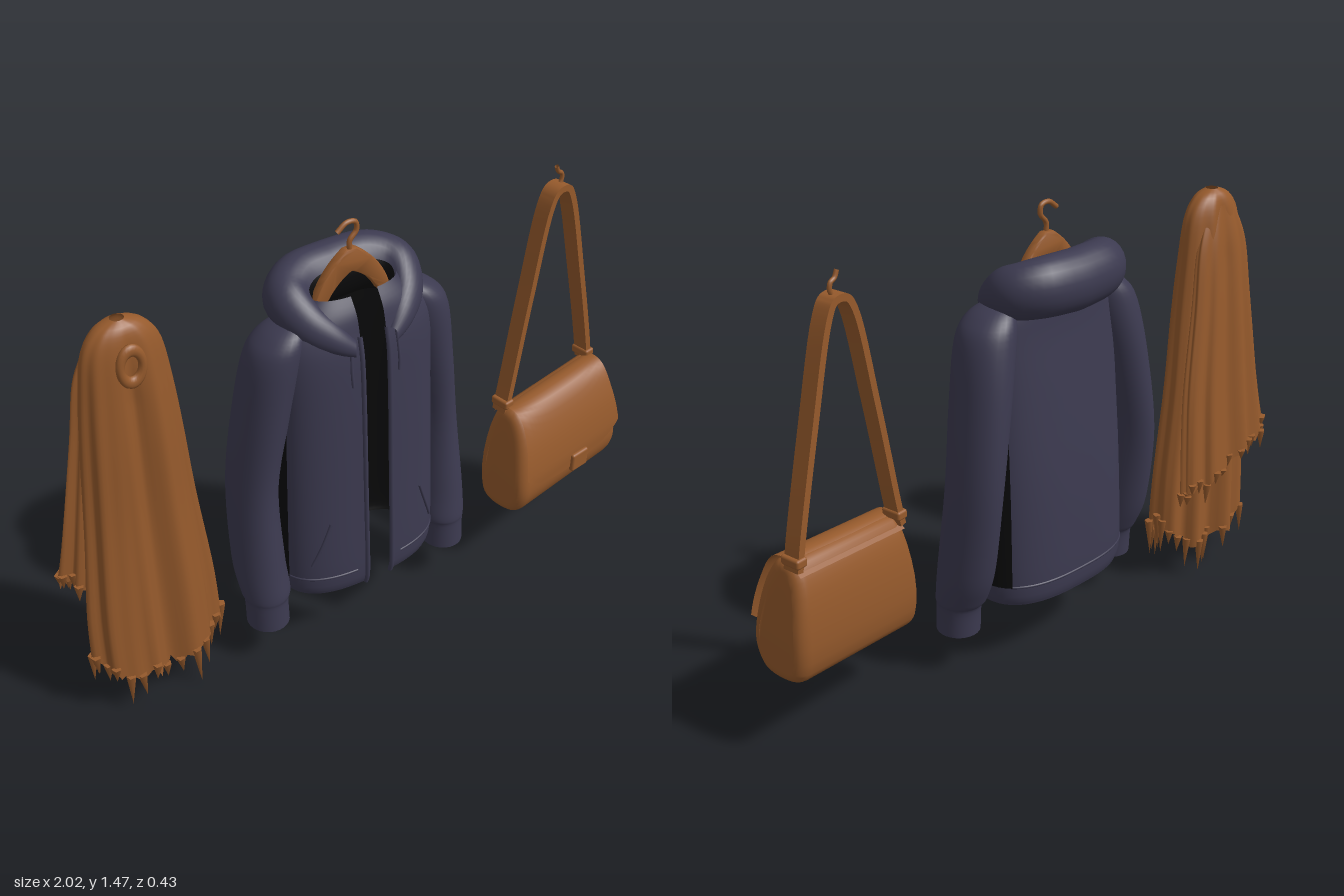
import * as THREE from 'three';
import { toCreasedNormals } from 'three/addons/utils/BufferGeometryUtils.js';
import { RoundedBoxGeometry } from 'three/addons/geometries/RoundedBoxGeometry.js';

const V = (x, y, z) => new THREE.Vector3(x, y, z);
const material = (name, color, side = THREE.FrontSide) => {
  const m = new THREE.MeshStandardMaterial({ color, side });
  m.name = name;
  return m;
};

// Skin through equal-length rings of points
function loft(rings, { closed = true, flip = false, cap = false } = {}) {
  const n = rings[0].length, pos = rings.flat().flatMap(p => [p.x, p.y, p.z]), idx = [];
  const tri = (a, b, c) => (flip ? idx.push(a, c, b) : idx.push(a, b, c));
  for (let i = 0; i < rings.length - 1; i++) {
    for (let j = 0; j < (closed ? n : n - 1); j++) {
      const k = (j + 1) % n, a = i * n + j, b = i * n + k;
      tri(a, b, b + n);
      tri(a, b + n, a + n);
    }
  }
  if (cap) for (const end of [0, rings.length - 1]) {
    const c = rings[end].reduce((s, p) => s.add(p), V(0, 0, 0)).divideScalar(n);
    const ci = pos.push(c.x, c.y, c.z) / 3 - 1;
    for (let j = 0; j < n; j++) {
      const a = end * n + j, b = end * n + (j + 1) % n;
      if (end) tri(a, b, ci); else tri(b, a, ci);
    }
  }
  const g = new THREE.BufferGeometry();
  g.setAttribute('position', new THREE.Float32BufferAttribute(pos, 3));
  g.setIndex(idx);
  g.computeVertexNormals();
  return g;
}

// Smoothly resample a list of numeric rows
function smoothRows(rows, count) {
  return Array.from({ length: count + 1 }, (_, i) => {
    const f = i / count * (rows.length - 1), k = Math.min(Math.floor(f), rows.length - 2), t = f - k;
    const at = j => rows[Math.max(0, Math.min(rows.length - 1, j))];
    return rows[0].map((_, c) => {
      const a = at(k)[c], b = at(k + 1)[c], ma = (b - at(k - 1)[c]) / 2, mb = (at(k + 2)[c] - a) / 2;
      const t2 = t * t, t3 = t2 * t;
      return (2 * t3 - 3 * t2 + 1) * a + (t3 - 2 * t2 + t) * ma + (3 * t2 - 2 * t3) * b + (t3 - t2) * mb;
    });
  });
}

const arc = (from, to, n, fn) => Array.from({ length: n + 1 }, (_, i) => fn(from + (to - from) * i / n));
const tube = (pts, r, seg = 24) => new THREE.TubeGeometry(new THREE.CatmullRomCurve3(pts), seg, r, 8);

export function createModel() {
  const brown = material('brown', 0x965a2c, THREE.DoubleSide);
  const navy = material('navy', 0x3c3a50);
  const black = material('black lining', 0x0a0a0b);
  const model = new THREE.Group();
  const group = (name) => { const g = new THREE.Group(); g.name = name; model.add(g); return g; };
  const add = (parent, name, geo, mat) => {
    const m = new THREE.Mesh(geo, mat);
    m.name = name;
    parent.add(m);
    return m;
  };
  let seed = 7;
  const rnd = () => (seed = (seed * 16807) % 2147483647) / 2147483647;

  // ---- Jacket ----
  const jacket = group('jacket');
  jacket.position.x = -0.036;
  // y, half width, front z, back z
  const bodyRows = smoothRows([
    [0.23, 0.272, 0.15, -0.16], [0.30, 0.285, 0.16, -0.17], [0.6, 0.28, 0.15, -0.155], [0.9, 0.272, 0.14, -0.125],
    [1.08, 0.27, 0.13, -0.105], [1.16, 0.255, 0.115, -0.1], [1.22, 0.2, 0.1, -0.1], [1.27, 0.15, 0.07, -0.1]], 28);
  const bodyPoint = ([y, w, f, b], a, off = 0) => {
    const s = Math.sin(a), c = Math.cos(a);
    return V((w + off) * Math.sign(s) * Math.abs(s) ** 0.75, y, c > 0 ? (f + off) * c ** 0.8 : (b - off) * (-c) ** 0.8);
  };
  const edgeAngle = row => Math.asin((0.046 / row[1]) ** (1 / 0.75));
  const shell = off => bodyRows.map(r => arc(edgeAngle(r), Math.PI * 2 - edgeAngle(r), 56, a => bodyPoint(r, a, off)));
  add(jacket, 'jacketBody', loft(shell(0), { closed: false }), navy);
  add(jacket, 'jacketLining', loft(shell(-0.01), { closed: false, flip: true }), black);
  // y, centre x, x radius, centre z, z radius
  const sleeveRows = smoothRows([
    [1.215, 0.2, 0.03, -0.01, 0.04], [1.18, 0.235, 0.065, -0.01, 0.08], [1.11, 0.265, 0.085, -0.015, 0.1],
    [0.92, 0.305, 0.078, -0.03, 0.108], [0.655, 0.345, 0.072, -0.04, 0.105], [0.39, 0.355, 0.08, -0.01, 0.1],
    [0.27, 0.352, 0.079, 0.02, 0.086], [0.235, 0.355, 0.069, 0.03, 0.074], [0.145, 0.355, 0.069, 0.035, 0.072]], 40);
  for (const s of [1, -1]) {
    const sleeve = sleeveRows.map(([y, x, rx, z, rz]) =>
      arc(0, Math.PI * 2 * 27 / 28, 27, a => V(s * x + rx * Math.sin(a), y, z + rz * Math.cos(a))));
    add(jacket, 'sleeve', loft(sleeve, { flip: true }), navy);
    const cuff = add(jacket, 'cuffOpening', new THREE.CircleGeometry(1, 28), black);
    cuff.scale.set(0.069, 0.073, 1);
    cuff.rotation.x = Math.PI / 2;
    cuff.position.set(s * 0.355, 0.148, 0.035);
    // Dark side panel behind the sleeve
    const side = bodyRows.filter(r => r[0] > 0.27 && r[0] < 1.04);
    add(jacket, 'sidePanel', loft(side.map(r => arc(1.3, 2.15, 10, a => {
      const p = bodyPoint(r, a, 0.004);
      p.x *= s;
      return p;
    })), { closed: false, flip: s < 0 }), black);
    // Zip edge, pocket welt and hood cord lie on the body surface
    const onBody = (row, x) => bodyPoint(row, Math.asin((x / row[1]) ** (1 / 0.75)), 0.002);
    const place = (row, x) => { const p = onBody(row, x); p.x *= s; return p; };
    const rowAt = y => bodyRows.reduce((a, b) => Math.abs(b[0] - y) < Math.abs(a[0] - y) ? b : a);
    add(jacket, 'zipEdge', tube(bodyRows.filter(r => r[0] < 1.17).map(r => place(r, 0.048)), 0.008, 40), navy);
    add(jacket, 'pocketWelt', tube([[0.55, 0.17], [0.46, 0.2], [0.38, 0.23]].map(([y, x]) => place(rowAt(y), x)), 0.005), navy);
    add(jacket, 'hoodCord', tube([[1.14, 0.08], [1.06, 0.085], [1.0, 0.083]].map(([y, x]) => place(rowAt(y), x)), 0.005), navy);
  }
  add(jacket, 'hemSeam', tube(arc(0.2, Math.PI * 2 - 0.2, 40, a => bodyPoint(bodyRows[4], a, -0.002)), 0.005, 90), navy);

  // Hood folded around the neck: centre radius, y, z, radial radius, vertical radius, from back to front
  const hoodHalf = smoothRows([
    [0, 1.255, -0.115, 0.08, 0.095], [0.11, 1.258, -0.105, 0.08, 0.092], [0.18, 1.25, -0.06, 0.074, 0.085],
    [0.197, 1.24, 0.0, 0.062, 0.07], [0.165, 1.2, 0.062, 0.05, 0.058], [0.11, 1.16, 0.1, 0.038, 0.045],
    [0.065, 1.125, 0.122, 0.02, 0.026]], 24);
  const hoodPath = [...hoodHalf.slice(1).reverse().map(r => [-r[0], ...r.slice(1)]), ...hoodHalf];
  const hood = (from, to) => hoodPath.map(([x, y, z, rr, ry], i) => {
    const phi = (i / (hoodPath.length - 1) * 2 - 1) * 2.6, out = V(Math.sin(phi), 0, -Math.cos(phi));
    return arc(from, to, 18, a => V(x, y + ry * Math.sin(a), z).addScaledVector(out, rr * Math.cos(a)));
  });
  add(jacket, 'hood', loft(hood(-0.55 * Math.PI, 0.85 * Math.PI), { closed: false }), navy);
  add(jacket, 'hoodLining', loft(hood(0.85 * Math.PI, 1.45 * Math.PI), { closed: false }), black);

  // ---- Hanger ----
  const hanger = group('hanger');
  hanger.position.x = -0.036;
  const yoke = new THREE.Shape();
  yoke.moveTo(-0.13, 1.225);
  yoke.quadraticCurveTo(-0.1, 1.32, -0.015, 1.375);
  yoke.lineTo(0.015, 1.375);
  yoke.quadraticCurveTo(0.1, 1.32, 0.13, 1.225);
  yoke.lineTo(0.1, 1.22);
  yoke.quadraticCurveTo(0.06, 1.29, 0, 1.315);
  yoke.quadraticCurveTo(-0.06, 1.29, -0.1, 1.22);
  const yokeGeo = new THREE.ExtrudeGeometry(yoke, { depth: 0.02, bevelThickness: 0.006, bevelSize: 0.006, bevelSegments: 3, curveSegments: 12 });
  add(hanger, 'hangerArms', toCreasedNormals(yokeGeo.translate(0, 0, -0.015), 0.9), brown);
  add(hanger, 'hangerHook', tube([V(0, 1.36, 0), V(-0.002, 1.405, 0), V(0.022, 1.435, 0), V(0.018, 1.462, 0),
    V(-0.012, 1.467, 0), V(-0.045, 1.445, 0)], 0.008), brown);

  // ---- Scarf ----
  const scarf = group('scarf');
  // rows: y, centre x, half width, centre z, half depth; hem(x, a) gives the ragged lower edge
  function drape(name, rows, ripple, hem, fringe) {
    const N = 84, list = smoothRows(rows, 30), top = list[0][0], low = list[30][0];
    const jag = Array.from({ length: N }, () => (rnd() - 0.5) * 0.05);
    const rings = list.map(([y, x, w, z, d]) => {
      const t = (top - y) / (top - low);
      return Array.from({ length: N }, (_, j) => {
        const a = j / N * Math.PI * 2, s = Math.sin(a), c = Math.cos(a);
        const fold = 1 + ripple * Math.sqrt(t) * (Math.cos(9 * a + 1) * 0.6 + Math.cos(14 * a + t) * 0.4);
        const crease = 1 - 0.45 * Math.min(1, t * 5) * Math.exp(-((s / 0.16) ** 2));
        const px = x + w * s * (1 + (fold - 1) * 0.3);
        const drop = Math.max(0, (t - 0.6) / 0.4) ** 2;
        return V(px, y + drop * (hem(px, a) - low + jag[j]), z + d * c * fold * crease);
      });
    });
    add(scarf, name, loft(rings, { flip: true }), brown);
    for (let j = 0; j < N; j += 3) {
      const p = rings[30][j], len = fringe * (0.5 + rnd());
      const strand = add(scarf, 'fringe', new THREE.ConeGeometry(0.016, len, 5), brown);
      strand.rotation.x = Math.PI;
      strand.rotation.z = (rnd() - 0.5) * 0.2;
      strand.position.set(p.x, Math.max(p.y + 0.02 - len / 2, 0.005 + len / 2), p.z);
    }
  }
  drape('scarfFront', [
    [1.38, -0.755, 0.02, -0.055, 0.02], [1.355, -0.755, 0.075, -0.055, 0.045], [1.29, -0.755, 0.118, -0.055, 0.06],
    [1.15, -0.755, 0.14, -0.055, 0.07], [0.975, -0.755, 0.157, -0.055, 0.075], [0.71, -0.753, 0.178, -0.06, 0.08],
    [0.4, -0.75, 0.208, -0.06, 0.09], [0.2, -0.748, 0.215, -0.06, 0.098]], 0.2,
  (x, a) => 0.22 - 0.1 * Math.abs(Math.cos(a)), 0.1);
  drape('scarfBack', [
    [1.33, -0.765, 0.06, -0.085, 0.02], [1.2, -0.765, 0.12, -0.1, 0.03], [1.0, -0.765, 0.148, -0.115, 0.035],
    [0.7, -0.77, 0.19, -0.13, 0.04], [0.45, -0.785, 0.208, -0.145, 0.042]], 0.25,
  x => 0.41 + (-0.785 - x) * 0.35, 0.05);
  const loop = add(scarf, 'scarfLoop', new THREE.TorusGeometry(0.034, 0.013, 10, 28), brown);
  loop.scale.y = 1.5;
  loop.position.set(-0.755, 1.255, 0.005);

  // ---- Shoulder bag ----
  const bag = group('bag');
  bag.position.set(0.747, 0, 0.08);
  bag.rotation.y = 0.13;
  // Widen toward the bottom and tilt a little
  const settle = g => {
    const p = g.attributes.position;
    for (let i = 0; i < p.count; i++) {
      const x = p.getX(i) * (1 - 0.12 * THREE.MathUtils.smoothstep(p.getY(i), 0.36, 0.64));
      p.setXY(i, x, p.getY(i) + 0.07 * x);
    }
    g.computeVertexNormals();
    return g;
  };
  const profile = new THREE.CatmullRomCurve3([[-0.09, 0.29], [-0.09, 0.55], [-0.05, 0.632], [0.01, 0.632], [0.06, 0.57],
    [0.1, 0.42], [0.102, 0.32], [0.06, 0.256], [-0.05, 0.25]].map(([z, y]) => V(-z, y, 0)), true);
  const caseGeo = new THREE.ExtrudeGeometry(new THREE.Shape(profile.getPoints(48).slice(0, -1).map(p => new THREE.Vector2(p.x, p.y))),
    { depth: 0.42, bevelThickness: 0.04, bevelSize: 0.035, bevelOffset: -0.035, bevelSegments: 5 });
  add(bag, 'bagBody', toCreasedNormals(settle(caseGeo.translate(0, 0, -0.21).rotateY(Math.PI / 2)), 0.9), brown);
  const flapCurve = new THREE.CatmullRomCurve3([V(0, 0.6, -0.08), V(0, 0.643, -0.025), V(0, 0.632, 0.033),
    V(0, 0.54, 0.085), V(0, 0.42, 0.114), V(0, 0.355, 0.115)]);
  const flap = arc(0, 1, 20, s => arc(-1, 1, 24, t => {
    const p = flapCurve.getPoint(s * (1 - 0.2 * Math.abs(t) ** 3));
    p.x = t * 0.238;
    return p;
  }));
  add(bag, 'bagFlap', settle(loft(flap, { closed: false, flip: true })), brown);
  add(bag, 'bagClasp', new RoundedBoxGeometry(0.08, 0.07, 0.02, 3, 0.009).translate(0.025, 0.37, 0.118), brown);

  // Flat strap looping over the hook
  const path = new THREE.CatmullRomCurve3([V(-0.207, 0.6, 0), V(-0.19, 0.68, 0), V(-0.125, 1.02, 0), V(-0.058, 1.32, 0),
    V(-0.03, 1.36, 0), V(0.012, 1.36, 0), V(0.038, 1.32, 0), V(0.12, 1.02, 0), V(0.195, 0.71, 0), V(0.21, 0.63, 0)]);
  const offset = d => arc(0, 1, 60, t => {
    const p = path.getPoint(t), g = path.getTangent(t);
    return new THREE.Vector2(p.x - g.y * d, p.y + g.x * d);
  });
  const strap = new THREE.Shape([...offset(0.011), ...offset(-0.011).reverse()]);
  add(bag, 'bagStrap', toCreasedNormals(new THREE.ExtrudeGeometry(strap, { depth: 0.055, bevelEnabled: false }).translate(0, 0, -0.08), 0.6), brown);
  for (const [x, y] of [[-0.2, 0.635], [0.205, 0.66]]) {
    add(bag, 'strapKeeper', new RoundedBoxGeometry(0.04, 0.03, 0.07, 2, 0.008).translate(x, y, -0.052), brown);
  }
  add(bag, 'bagHook', tube([V(-0.005, 1.36, -0.055), V(0.008, 1.385, -0.055), V(0.004, 1.405, -0.055),
    V(-0.012, 1.415, -0.055), V(-0.022, 1.435, -0.055)], 0.007), brown);

  return model;
}
